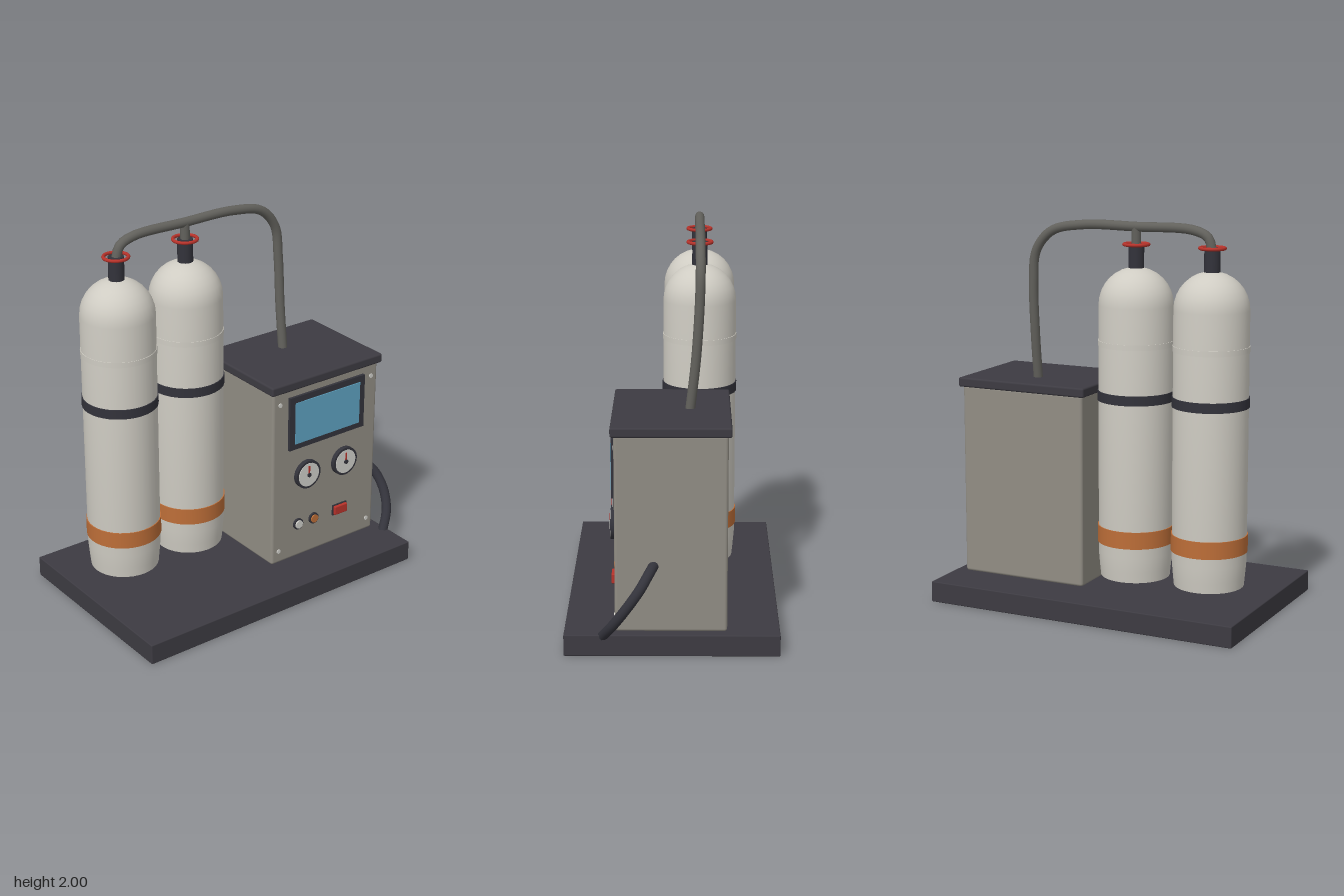
import * as THREE from 'three';
import { toCreasedNormals } from 'three/addons/utils/BufferGeometryUtils.js';
import { RoundedBoxGeometry } from 'three/addons/geometries/RoundedBoxGeometry.js';

const mat = (name, color) => {
  const m = new THREE.MeshStandardMaterial({ color });
  m.name = name;
  return m;
};

export function createModel() {
  const root = new THREE.Group();
  root.name = 'gasSupplyUnit';
  const M = {
    dark: mat('darkPlastic', 0x3d3b42),
    rubber: mat('blackRubber', 0x33333b),
    tank: mat('tankPaint', 0xcfccc3),
    cabinet: mat('cabinetPaint', 0x918d84),
    pipe: mat('pipeMetal', 0x62615c),
    orange: mat('orangePaint', 0xbd6e38),
    red: mat('redPaint', 0xb8332b),
    screen: mat('screenBlue', 0x5fa3c2),
    dial: mat('dialWhite', 0xd2d1cc),
  };

  const add = (parent, name, geo, material, x = 0, y = 0, z = 0) => {
    const mesh = new THREE.Mesh(geo, material);
    mesh.name = name;
    mesh.position.set(x, y, z);
    parent.add(mesh);
    return mesh;
  };
  const box = (w, h, d) => new THREE.BoxGeometry(w, h, d);
  const cyl = (r, h, n = 32) => new THREE.CylinderGeometry(r, r, h, n);
  const disc = (r, d, n = 28) => cyl(r, d, n).rotateX(Math.PI / 2);
  const vecs = (pts) => pts.map((p) => new THREE.Vector3(...p));
  const tube = (pts, r, n) =>
    new THREE.TubeGeometry(new THREE.CatmullRomCurve3(vecs(pts)), n, r, 14);

  // Base plate
  add(root, 'basePlate', new RoundedBoxGeometry(1.7, 0.11, 1.07, 2, 0.005), M.dark, -0.055, 0.055, 0);

  // Gas cylinders with bands, neck and hand wheel
  const profile = [[0, 0.18], [0.178, 0.18], [0.183, 0.23], [0.19, 0.31]]
    .map((p) => new THREE.Vector2(...p));
  for (let i = 0; i <= 8; i++) {
    const a = (i / 8) * Math.PI / 2;
    profile.push(new THREE.Vector2(0.19 * Math.cos(a), 1.585 + 0.19 * Math.sin(a)));
  }
  const tankGeo = toCreasedNormals(new THREE.LatheGeometry(profile, 36), 0.7);
  for (const [x, side] of [[-0.613, 'right'], [-0.2, 'left']]) {
    const tank = new THREE.Group();
    tank.name = side + 'Tank';
    tank.position.set(x, 0, -0.137);
    root.add(tank);
    add(tank, 'tankBody', tankGeo, M.tank);
    add(tank, 'tankSeam', cyl(0.193, 0.028, 36), M.tank, 0, 1.393);
    add(tank, 'clampBand', cyl(0.195, 0.05, 36), M.rubber, 0, 1.125);
    add(tank, 'orangeBand', cyl(0.195, 0.088, 36), M.orange, 0, 0.405);
    add(tank, 'valveNeck', cyl(0.04, 0.13, 20), M.rubber, 0, 1.825);
    add(tank, 'valveWheel', new THREE.TorusGeometry(0.062, 0.009, 8, 28).rotateX(Math.PI / 2),
      M.red, 0, 1.888);
  }

  // Manifold pipe to the cabinet and the short riser joining it
  add(root, 'manifoldPipe', tube([
    [-0.613, 1.87, -0.137], [-0.59, 1.938, -0.137], [-0.51, 1.972, -0.137], [-0.2, 1.976, -0.137],
    [0.1, 1.974, -0.137], [0.28, 1.935, -0.137], [0.37, 1.83, -0.137], [0.39, 1.66, -0.132],
    [0.392, 1.4, -0.115], [0.392, 1.15, -0.087],
  ], 0.0245, 72), M.pipe);
  add(root, 'pipeRiser', cyl(0.024, 0.12, 14), M.pipe, -0.2, 1.92, -0.137);

  // Control cabinet
  const cabinet = new THREE.Group();
  cabinet.name = 'controlCabinet';
  cabinet.position.set(0.391, 0, 0.005);
  root.add(cabinet);
  add(cabinet, 'cabinetBody', new RoundedBoxGeometry(0.7, 1.01, 0.556, 3, 0.015), M.cabinet, 0, 0.613);
  add(cabinet, 'cabinetLid', new RoundedBoxGeometry(0.735, 0.05, 0.59, 2, 0.01), M.dark, 0, 1.135);

  // Front panel, measured from the cabinet face
  const panel = new THREE.Group();
  panel.name = 'frontPanel';
  panel.position.z = 0.278;
  cabinet.add(panel);
  add(panel, 'screenFrame', box(0.502, 0.302, 0.018), M.rubber, 0, 0.919, 0.007);
  add(panel, 'screen', box(0.432, 0.236, 0.006), M.screen, 0, 0.918, 0.017);

  // Round gauges
  for (const x of [-0.126, 0.126]) {
    const gauge = new THREE.Group();
    gauge.name = 'gauge';
    gauge.position.set(x, 0.597, 0);
    panel.add(gauge);
    add(gauge, 'gaugeRim', disc(0.08, 0.024, 32), M.rubber, 0, 0, 0.012);
    add(gauge, 'gaugeDial', disc(0.067, 0.004, 32), M.dial, 0, 0, 0.025);
    add(gauge, 'gaugeNeedle', box(0.009, 0.052, 0.004), M.red, 0, 0.026, 0.028);
    add(gauge, 'gaugeHub', disc(0.012, 0.008, 14), M.rubber, 0, 0, 0.03);
  }

  // Indicator lamps and red switch
  for (const [x, m] of [[-0.178, M.dial], [-0.072, M.orange]]) {
    add(panel, 'lampBezel', disc(0.031, 0.012, 20), M.rubber, x, 0.309, 0.006);
    add(panel, 'lamp', disc(0.023, 0.018, 20), m, x, 0.309, 0.01);
  }
  add(panel, 'switchBezel', box(0.096, 0.06, 0.008), M.rubber, 0.108, 0.309, 0.004);
  add(panel, 'redSwitch', new RoundedBoxGeometry(0.086, 0.05, 0.024, 2, 0.005), M.red, 0.108, 0.309, 0.011);

  // Panel corner screws
  for (const x of [-0.305, 0.305])
    for (const y of [0.18, 1.043])
      add(panel, 'screw', disc(0.012, 0.006, 10), M.dial, x, y, 0.002);

  // Hose from the cabinet side down to the base
  add(root, 'sideHose', tube([
    [0.73, 0.452, 0.09], [0.8, 0.432, 0.113], [0.858, 0.37, 0.157], [0.874, 0.28, 0.222],
    [0.845, 0.185, 0.287], [0.77, 0.095, 0.345],
  ], 0.026, 40), M.rubber);

  return root;
}
